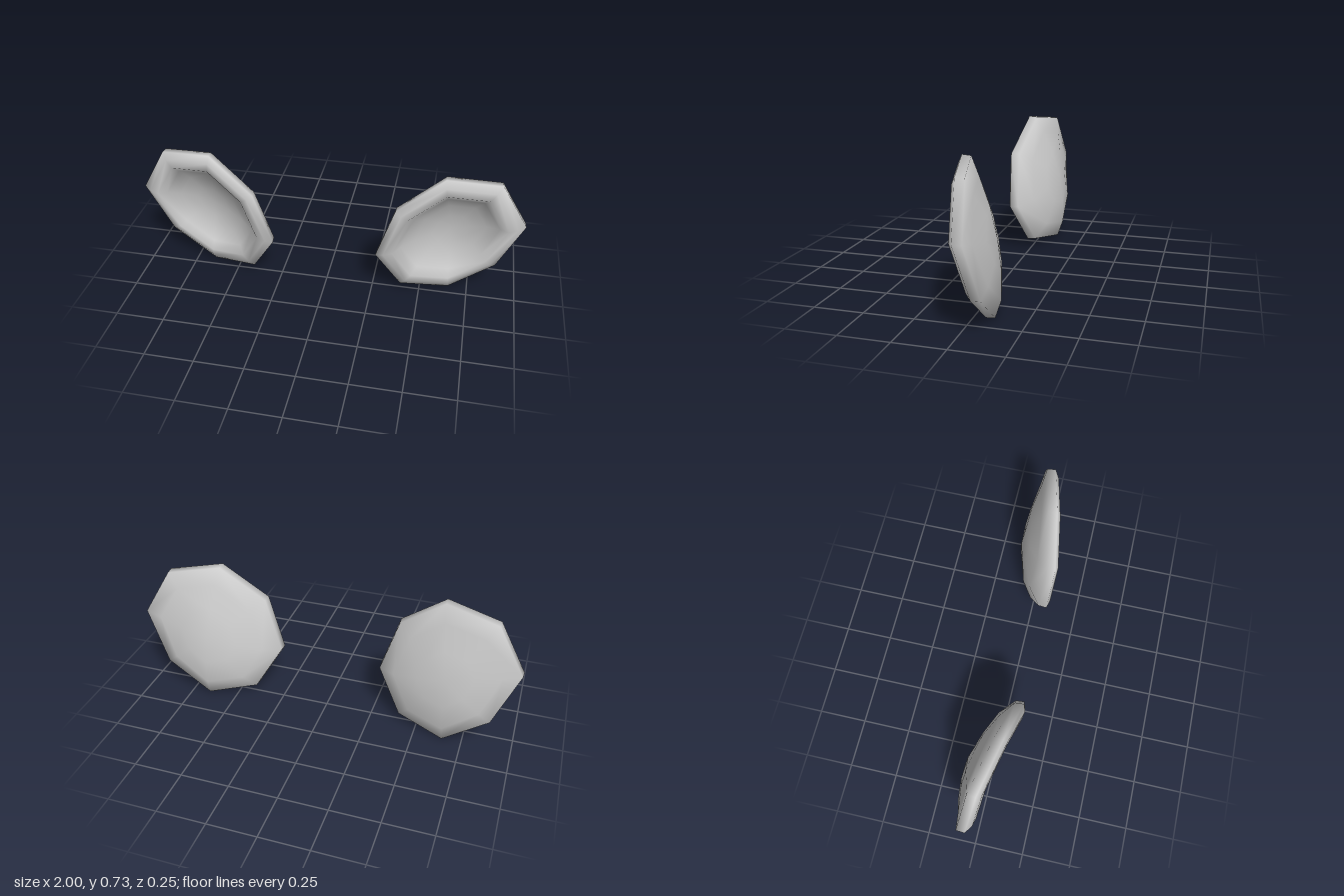
import * as THREE from 'three';

// Octagonal edge of the left dish, counter-clockwise seen from the front.
// The edge is tilted and slightly bent, so each corner has its own z.
const EDGE = [
  [0.59, 0.73, 0.045], [0.36, 0.55, 0.09], [0.27, 0.265, 0.073], [0.40, 0.045, 0.003],
  [0.65, 0.0, -0.078], [0.88, 0.17, -0.085], [1.0, 0.45, -0.05], [0.86, 0.69, -0.018],
];
const CENTRE = [0.635, 0.37, -0.018];

// Cross-section from cavity floor over the rim to the back: [edge scale, depth, slant]
const PROFILE = [
  [0.25, -0.044, 0], [0.48, -0.022, 0], [0.66, 0.014, 0], // bowl
  [0.77, 0.051, 0], [0.89, 0.045, 0],                     // rounded rim
  [1.0, 0.022, 0], [0.99, -0.022, 0],                     // outer edge
  [0.75, -0.055, 0.04], [0.4, -0.08, 0.04],               // slanted, domed back
];
const FLOOR = -0.05, BACK = -0.09;

function dishGeometry(side) {
  const n = EDGE.length;
  const pos = [], index = [];
  const add = ([x, y, z], depth) => pos.push(side * x, y, z + depth);
  const tri = (a, b, c) => (side > 0 ? index.push(a, b, c) : index.push(a, c, b));

  for (const [scale, depth, slant] of PROFILE) {
    for (const corner of EDGE) {
      const p = CENTRE.map((c, i) => c + (corner[i] - c) * scale);
      add(p, depth + slant * (p[0] - CENTRE[0] + p[1] - CENTRE[1]));
    }
  }
  const last = (PROFILE.length - 1) * n;
  const floor = PROFILE.length * n, back = floor + 1;
  add(CENTRE, FLOOR);
  add(CENTRE, BACK);

  for (let j = 0; j < n; j++) {
    const k = (j + 1) % n;
    tri(floor, j, k);
    for (let r = 0; r < last; r += n) {
      tri(r + j, r + n + j, r + n + k);
      tri(r + j, r + n + k, r + k);
    }
    tri(back, last + k, last + j);
  }

  const geometry = new THREE.BufferGeometry();
  geometry.setAttribute('position', new THREE.Float32BufferAttribute(pos, 3));
  geometry.setIndex(index);
  geometry.computeVertexNormals();
  return geometry;
}

export function createModel() {
  const grey = new THREE.MeshStandardMaterial({ color: 0xcccccc });
  grey.name = 'light grey';

  const model = new THREE.Group();
  model.name = 'dishPair';
  for (const [name, side] of [['leftDish', 1], ['rightDish', -1]]) {
    const dish = new THREE.Mesh(dishGeometry(side), grey);
    dish.name = name;
    model.add(dish);
  }
  return model;
}
